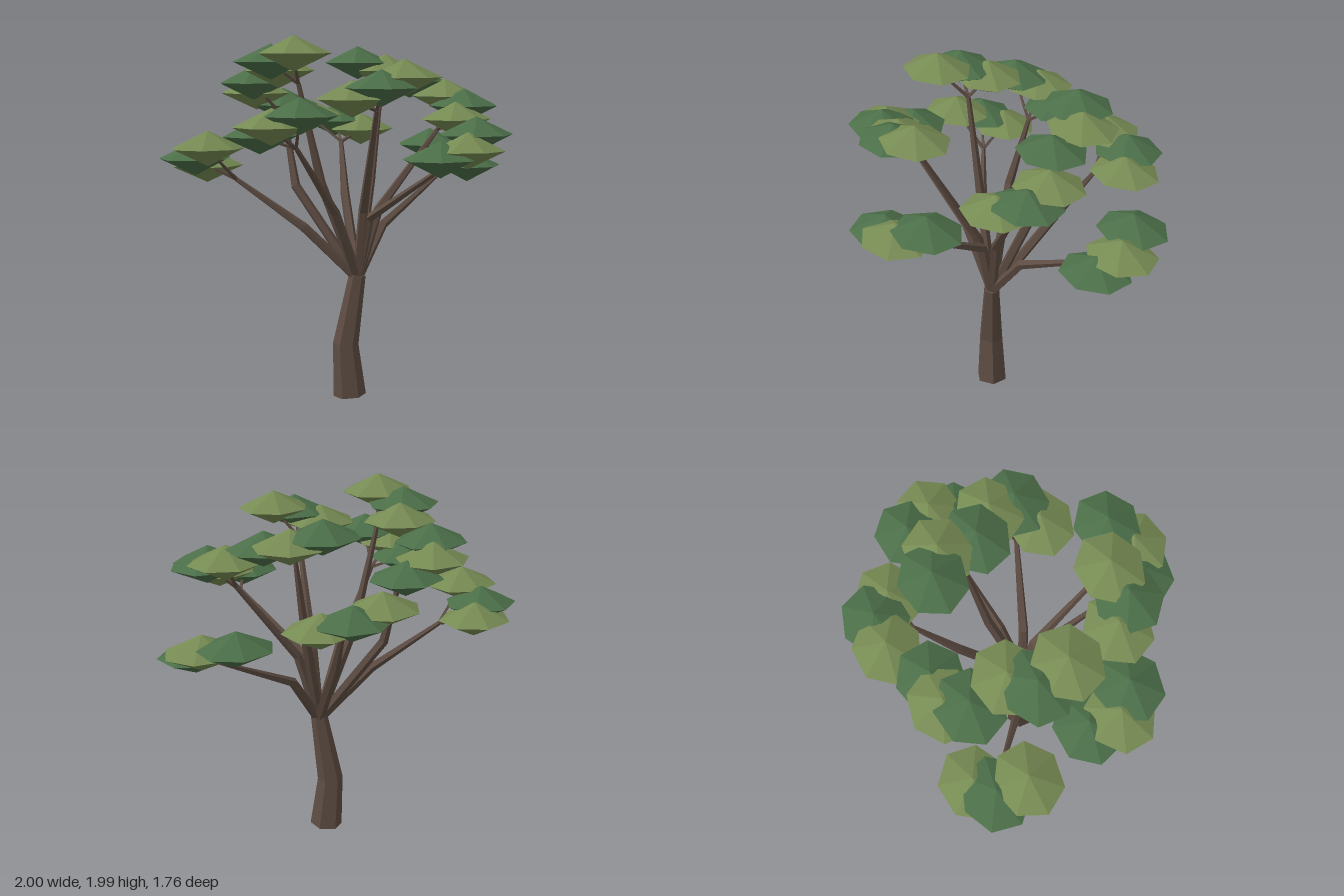
import * as THREE from 'three';

const bark = new THREE.MeshStandardMaterial({ name: 'bark brown', color: 0x5d4c42, flatShading: true });
const lightLeaf = new THREE.MeshStandardMaterial({ name: 'olive leaf', color: 0x768a53, flatShading: true });
const darkLeaf = new THREE.MeshStandardMaterial({ name: 'deep green leaf', color: 0x4b6e48, flatShading: true });

const V = (p) => new THREE.Vector3(...p);
const UP = new THREE.Vector3(0, 1, 0);
const FORK = [-0.045, 0.67, -0.02];

// Each cluster: the elbow of its branch and three leaf pads [x, peak height, z, isLight]
const clusters = [
  { elbow: [0.08, 1.1, -0.34], pads: [[0.07, 1.625, -0.71, 1], [0.25, 1.59, -0.71, 0], [0.36, 1.54, -0.6, 1]] },
  { elbow: [0.13, 1.2, -0.15], pads: [[0.2, 1.935, -0.39, 0], [0.34, 1.89, -0.31, 1], [0.36, 1.835, -0.1, 0]] },
  { elbow: [0.16, 0.95, -0.07], pads: [[0.7, 1.45, -0.37, 0], [0.8, 1.405, -0.21, 1], [0.76, 1.34, -0.08, 0]] },
  { elbow: [0.06, 1.05, 0.03], pads: [[0.51, 1.755, 0.03, 1], [0.53, 1.705, 0.18, 0], [0.4, 1.64, 0.27, 1]] },
  { elbow: [-0.02, 1.01, 0.06], pads: [[0.28, 1.58, 0.6, 0], [0.15, 1.51, 0.7, 1], [0, 1.47, 0.67, 0]] },
  { elbow: [-0.06, 1.05, 0.06], pads: [[-0.06, 1.875, 0.44, 1], [-0.22, 1.825, 0.47, 0], [-0.33, 1.77, 0.37, 1]] },
  { elbow: [-0.22, 1.05, 0.03], pads: [[-0.6, 1.69, 0.31, 0], [-0.71, 1.635, 0.22, 1], [-0.69, 1.58, 0.06, 0]] },
  { elbow: [-0.24, 1.2, -0.08], pads: [[-0.47, 1.995, 0.03, 1], [-0.51, 1.95, -0.14, 0], [-0.4, 1.9, -0.25, 1]] },
  { elbow: [-0.31, 0.96, -0.15], pads: [[-0.8, 1.495, -0.31, 1], [-0.79, 1.43, -0.48, 0], [-0.68, 1.38, -0.56, 1]] },
  { elbow: [-0.27, 1.17, -0.3], pads: [[-0.44, 1.83, -0.46, 0], [-0.36, 1.77, -0.57, 1], [-0.19, 1.7, -0.57, 0]] },
];

// Bent, tapered limb: a cylinder whose rings are moved onto a path
function limb(name, path, radii, sides) {
  const pts = path.map(V);
  const last = pts.length - 1;
  const geo = new THREE.CylinderGeometry(1, 1, 1, sides, last);
  const frames = pts.map((p, i) => {
    const dir = pts[Math.min(i + 1, last)].clone().sub(pts[Math.max(i - 1, 0)]).normalize();
    return new THREE.Quaternion().setFromUnitVectors(UP, dir);
  });
  const pos = geo.attributes.position;
  const v = new THREE.Vector3();
  for (let i = 0; i < pos.count; i++) {
    const row = Math.round((pos.getY(i) + 0.5) * last);
    v.set(pos.getX(i), 0, pos.getZ(i)).multiplyScalar(radii[row]);
    v.applyQuaternion(frames[row]).add(pts[row]);
    pos.setXYZ(i, v.x, v.y, v.z);
  }
  geo.computeVertexNormals();
  const mesh = new THREE.Mesh(geo, bark);
  mesh.name = name;
  return mesh;
}

// Flattened seven-sided double cone
function leafPad([x, peak, z, isLight], yaw) {
  const geo = new THREE.SphereGeometry(1, 7, 2);
  geo.rotateY(yaw);
  geo.scale(0.203, 0.094, 0.178);
  const mesh = new THREE.Mesh(geo, isLight ? lightLeaf : darkLeaf);
  mesh.name = 'leafPad';
  mesh.position.set(x, peak - 0.094, z);
  return mesh;
}

export function createModel() {
  const tree = new THREE.Group();
  tree.name = 'tree';

  tree.add(limb('trunk',
    [[-0.08, 0.008, -0.045], [-0.1, 0.3, -0.055], [-0.045, 0.69, -0.02]],
    [0.09, 0.071, 0.046], 6));

  clusters.forEach(({ elbow, pads }, c) => {
    const group = new THREE.Group();
    group.name = 'branchCluster';

    // Branch tip sits below and a little inward of its pads
    const mean = (k) => pads.reduce((s, p) => s + p[k], 0) / 3;
    const low = Math.min(...pads.map((p) => p[1]));
    const tip = [mean(0) * 0.8, low - 0.16, mean(2) * 0.8];
    group.add(limb('branch', [FORK, elbow, tip], [0.03, 0.027, 0.013], 5));

    pads.forEach((pad, i) => {
      group.add(limb('twig', [tip, [pad[0], pad[1] - 0.1, pad[2]]], [0.011, 0.006], 4));
      group.add(leafPad(pad, ((c * 3 + i) % 5 - 2) * 0.06 + (i % 2) * Math.PI));
    });
    tree.add(group);
  });
  return tree;
}
